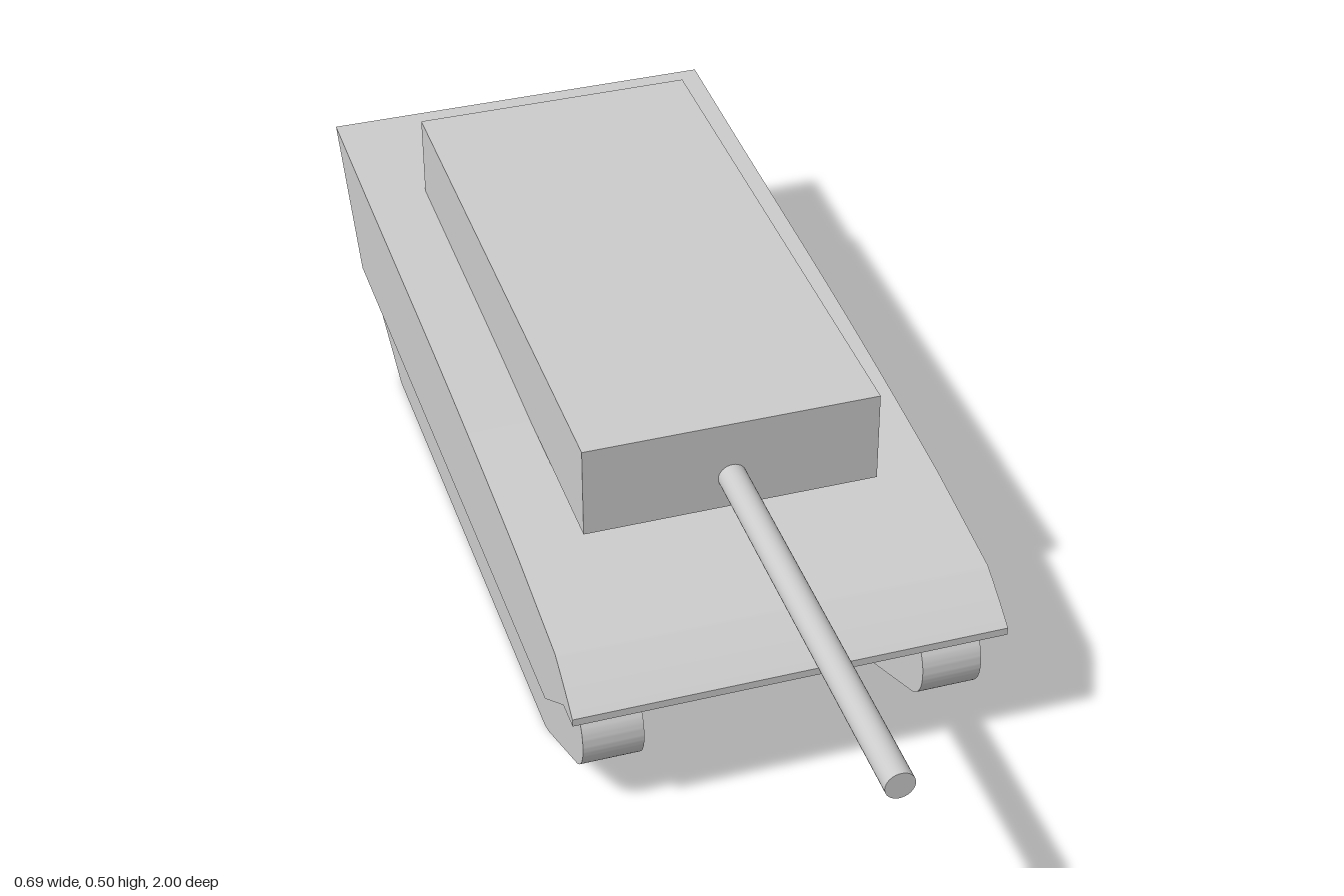
import * as THREE from 'three';
import { toCreasedNormals } from 'three/addons/utils/BufferGeometryUtils.js';

const material = new THREE.MeshStandardMaterial({ color: 0xcccccc });

function addMesh(group, name, geometry, x = 0, y = 0, z = 0) {
  const mesh = new THREE.Mesh(geometry, material);
  mesh.name = name;
  mesh.position.set(x, y, z);
  group.add(mesh);
  return mesh;
}

// Side profile in (z, y), extruded across x and centred on x = 0
function extrudeSide(shape, width) {
  const geometry = new THREE.ExtrudeGeometry(shape, { depth: width, bevelEnabled: false, curveSegments: 20 });
  geometry.translate(0, 0, -width / 2);
  geometry.rotateY(-Math.PI / 2);
  return toCreasedNormals(geometry, 0.5);
}

function hullShape() {
  const shape = new THREE.Shape();
  shape.moveTo(-0.84, 0.15);
  shape.lineTo(0.41, 0.15);
  shape.lineTo(0.52, 0.23);
  shape.lineTo(0.57, 0.23);
  shape.lineTo(0.57, 0.243);
  shape.quadraticCurveTo(0.535, 0.268, 0.48, 0.297);
  // gently rising deck
  shape.lineTo(0.27, 0.322);
  shape.quadraticCurveTo(-0.04, 0.345, -0.37, 0.35);
  shape.lineTo(-0.75, 0.355);
  shape.lineTo(-1, 0.36);
  shape.closePath();
  return shape;
}

function trackShape() {
  const r = 0.07, cy = 0.148, front = 0.465, back = -0.826;
  const tilt = 0.46; // slope of the lower runs
  const shape = new THREE.Shape();
  shape.moveTo(-0.66, 0);
  shape.lineTo(0.295, 0);
  shape.quadraticCurveTo(0.315, 0, 0.335, 0.009);
  shape.absarc(front, cy, r, -Math.PI / 2 + tilt, Math.PI / 2, false);
  shape.absarc(back, cy, r, Math.PI / 2, Math.PI * 1.5 - tilt, false);
  shape.lineTo(-0.69, 0.009);
  shape.quadraticCurveTo(-0.675, 0, -0.66, 0);
  return shape;
}

export function createModel() {
  const model = new THREE.Group();
  model.name = 'tank';

  addMesh(model, 'hull', extrudeSide(hullShape(), 0.694));

  // One track on each side
  const track = extrudeSide(trackShape(), 0.097);
  addMesh(model, 'leftTrack', track, 0.274);
  addMesh(model, 'rightTrack', track, -0.274);

  addMesh(model, 'turret', new THREE.BoxGeometry(0.482, 0.158, 1.015), 0, 0.419, -0.2375);

  // Gun barrel, running a little way into the turret
  const barrel = new THREE.CylinderGeometry(0.023, 0.023, 0.75, 32);
  barrel.rotateX(Math.PI / 2);
  addMesh(model, 'barrel', barrel, 0, 0.397, 0.625);

  return model;
}
